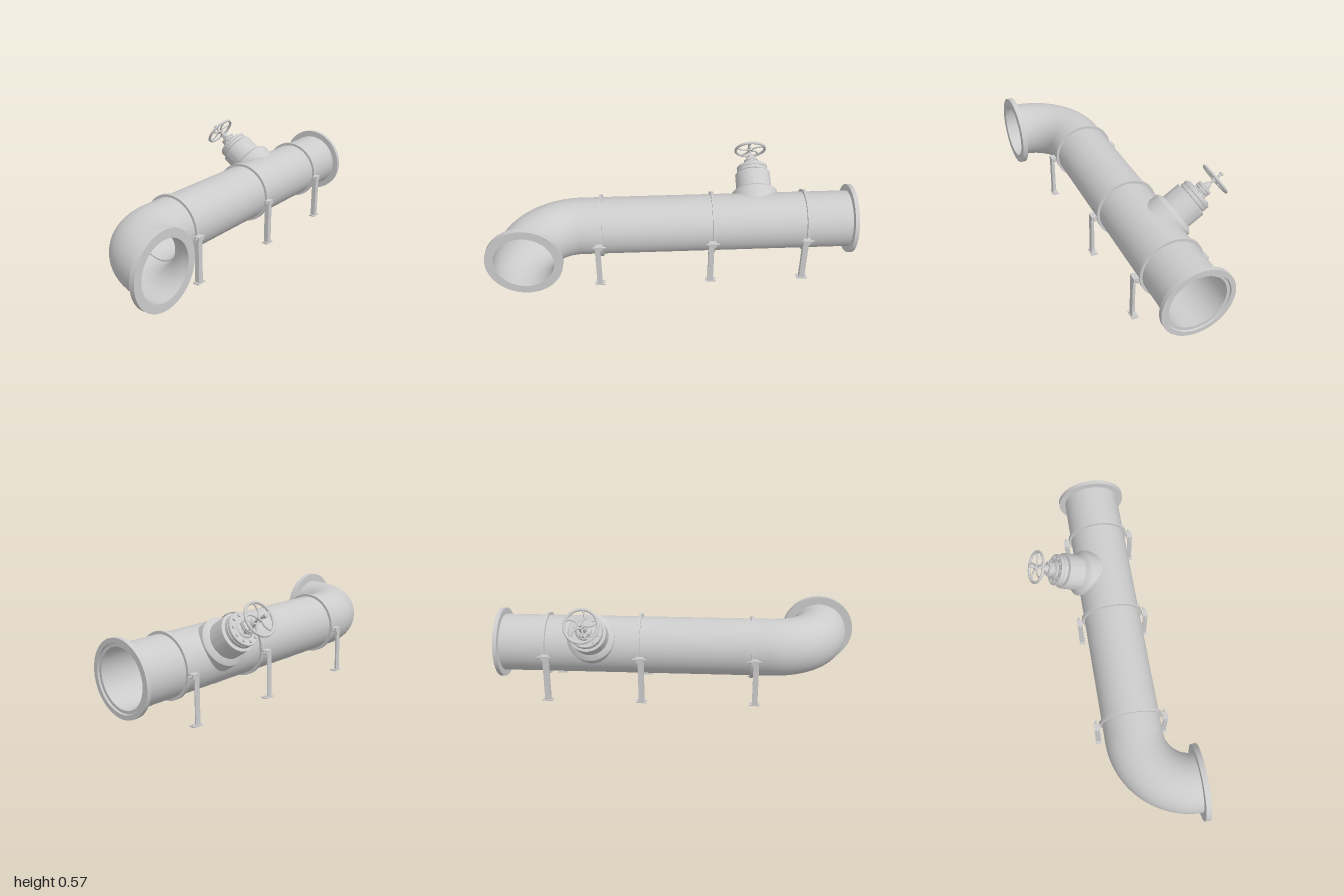
import * as THREE from 'three';
import { toCreasedNormals } from 'three/addons/utils/BufferGeometryUtils.js';

const material = new THREE.MeshStandardMaterial({ color: 0xcccccc, side: THREE.DoubleSide });
const AXIS_X = -0.009, AXIS_Y = 0.255;   // pipe axis inside the turned group
const PIPE_R = 0.153, BEND_R = 0.279, BEND_Z = 0.486;

function add(parent, name, geometry, x = 0, y = 0, z = 0) {
  const mesh = new THREE.Mesh(geometry, material);
  mesh.name = name;
  mesh.position.set(x, y, z);
  parent.add(mesh);
  return mesh;
}

function lathe(points, segments = 64) {
  const profile = points.map(([r, y]) => new THREE.Vector2(r, y));
  return toCreasedNormals(new THREE.LatheGeometry(profile, segments), 0.5);
}

// Closed ring about y, between two radii and two heights
const ring = (ri, ro, y0, y1) => lathe([[ri, y0], [ro, y0], [ro, y1], [ri, y1], [ri, y0]]);
const box = (w, h, d) => new THREE.BoxGeometry(w, h, d);
const rod = (r, h, sides = 16) => new THREE.CylinderGeometry(r, r, h, sides);

function createPipe() {
  const pipe = new THREE.Group();
  pipe.name = 'pipe';
  pipe.position.set(AXIS_X, AXIS_Y, 0);
  add(pipe, 'straightPipe', ring(0.146, PIPE_R, -0.97, BEND_Z).rotateX(Math.PI / 2));

  // Quarter bend that turns from +z to +x
  const bend = new THREE.TorusGeometry(BEND_R, PIPE_R, 64, 40, Math.PI / 2);
  bend.rotateZ(Math.PI / 2).rotateX(Math.PI / 2);
  add(pipe, 'elbow', bend, BEND_R, 0, BEND_Z);

  const front = ring(0.152, 0.197, -0.002, 0.026).rotateZ(-Math.PI / 2);
  add(pipe, 'frontFlange', front, BEND_R, 0, BEND_Z + BEND_R);

  // Back flange with a recessed inner lip
  const back = lathe([[0.146, -0.972], [0.16, -0.972], [0.163, -0.98], [0.187, -0.98],
    [0.187, -0.958], [0.153, -0.958]]);
  add(pipe, 'backFlange', back.rotateX(Math.PI / 2));
  return pipe;
}

// One leg: angle iron on a foot plate, with the bolted clamp lug on top
function createLeg(side) {
  const leg = new THREE.Group();
  leg.name = side > 0 ? 'leftLeg' : 'rightLeg';
  leg.position.x = side * 0.183;
  add(leg, 'legFace', box(0.026, 0.23, 0.005), 0, 0.12, 0.03);
  add(leg, 'legWeb', box(0.005, 0.23, 0.027), side * 0.0105, 0.12, 0.017);
  add(leg, 'foot', box(0.034, 0.006, 0.055), 0, 0.003, 0.017);
  for (const z of [-0.001, 0.039]) add(leg, 'footBolt', rod(0.006, 0.004, 6), 0, 0.007, z);
  add(leg, 'clampLug', box(0.028, 0.022, 0.04), 0, 0.243, 0.012);
  const bolt = rod(0.004, 0.07).rotateX(Math.PI / 2);
  add(leg, 'lugBolt', bolt, 0, 0.243, 0.008);
  for (const z of [-0.012, 0.035]) {
    add(leg, 'lugNut', rod(0.008, 0.008, 6).rotateX(Math.PI / 2), 0, 0.243, z);
  }
  return leg;
}

function createSupport(z) {
  const support = new THREE.Group();
  support.name = 'pipeSupport';
  support.position.set(AXIS_X, 0, z);
  add(support, 'clampRing', ring(0.151, 0.167, -0.008, 0.008).rotateX(Math.PI / 2), 0, AXIS_Y, 0);
  for (const side of [-1, 1]) support.add(createLeg(side));
  return support;
}

function createHandwheel() {
  const wheel = new THREE.Group();
  wheel.name = 'handwheel';
  wheel.position.y = 0.434;
  add(wheel, 'wheelRim', new THREE.TorusGeometry(0.083, 0.0075, 12, 48).rotateX(Math.PI / 2));
  add(wheel, 'wheelHub', rod(0.015, 0.022, 24));
  const curve = new THREE.CatmullRomCurve3([
    new THREE.Vector3(0.01, 0, 0), new THREE.Vector3(0.035, 0, 0.012),
    new THREE.Vector3(0.062, 0, 0.012), new THREE.Vector3(0.083, 0, 0)]);
  const spoke = new THREE.TubeGeometry(curve, 12, 0.005, 8);
  for (let i = 0; i < 5; i++) {
    add(wheel, 'wheelSpoke', spoke).rotation.y = (i * Math.PI * 2) / 5;
  }
  return wheel;
}

// Valve built upright about y, then tilted out of the pipe axis
function createValve() {
  const valve = new THREE.Group();
  valve.name = 'valve';
  valve.position.set(AXIS_X, AXIS_Y, -0.465);
  valve.rotation.z = THREE.MathUtils.degToRad(57);

  // Branch collar: its lower edge is fitted to the round pipe
  const collar = lathe([[0.125, 0], [0.125, 0.163], [0.12, 0.169], [0.097, 0.183], [0.097, 0.277],
    [0.09, 0.279], [0.078, 0.279]]);
  const p = collar.attributes.position;
  for (let i = 0; i < p.count; i++) {
    if (p.getY(i) < 0.01) p.setY(i, Math.sqrt(0.15 ** 2 - p.getX(i) ** 2));
  }
  add(valve, 'branch', collar);

  // Two bolted discs and the domed bonnet
  add(valve, 'valveFlange', lathe([[0.078, 0.278], [0.078, 0.284], [0.085, 0.286], [0.085, 0.303],
    [0.081, 0.305], [0.085, 0.307], [0.085, 0.32], [0.082, 0.323], [0.05, 0.323], [0.045, 0.33],
    [0.028, 0.336], [0.028, 0.345], [0, 0.345]]));
  for (let i = 0; i < 10; i++) {
    const a = (i * Math.PI * 2) / 10;
    add(valve, 'flangeBolt', rod(0.008, 0.01, 6), 0.067 * Math.cos(a), 0.326, 0.067 * Math.sin(a));
  }

  // Packing gland with its studs
  add(valve, 'glandFlange', lathe([[0, 0.343], [0.038, 0.343], [0.04, 0.346], [0.04, 0.354], [0.036, 0.356],
    [0.04, 0.358], [0.04, 0.365], [0.036, 0.368], [0.022, 0.37], [0.017, 0.385], [0.012, 0.4],
    [0, 0.402]], 32));
  for (let i = 0; i < 4; i++) {
    const a = Math.PI / 4 + (i * Math.PI) / 2;
    add(valve, 'glandBolt', rod(0.007, 0.042, 6), 0.031 * Math.cos(a), 0.353, 0.031 * Math.sin(a));
  }
  add(valve, 'stem', rod(0.007, 0.1), 0, 0.43, 0);
  add(valve, 'stemNut', rod(0.01, 0.012, 6), 0, 0.472, 0);
  valve.add(createHandwheel());
  return valve;
}

export function createModel() {
  const model = new THREE.Group();
  model.name = 'pipeline';
  const line = new THREE.Group();
  line.name = 'pipeAssembly';
  line.rotation.y = THREE.MathUtils.degToRad(-10);
  line.add(createPipe(), createValve());
  for (const z of [0.38, -0.218, -0.719]) line.add(createSupport(z));
  model.add(line);
  return model;
}
